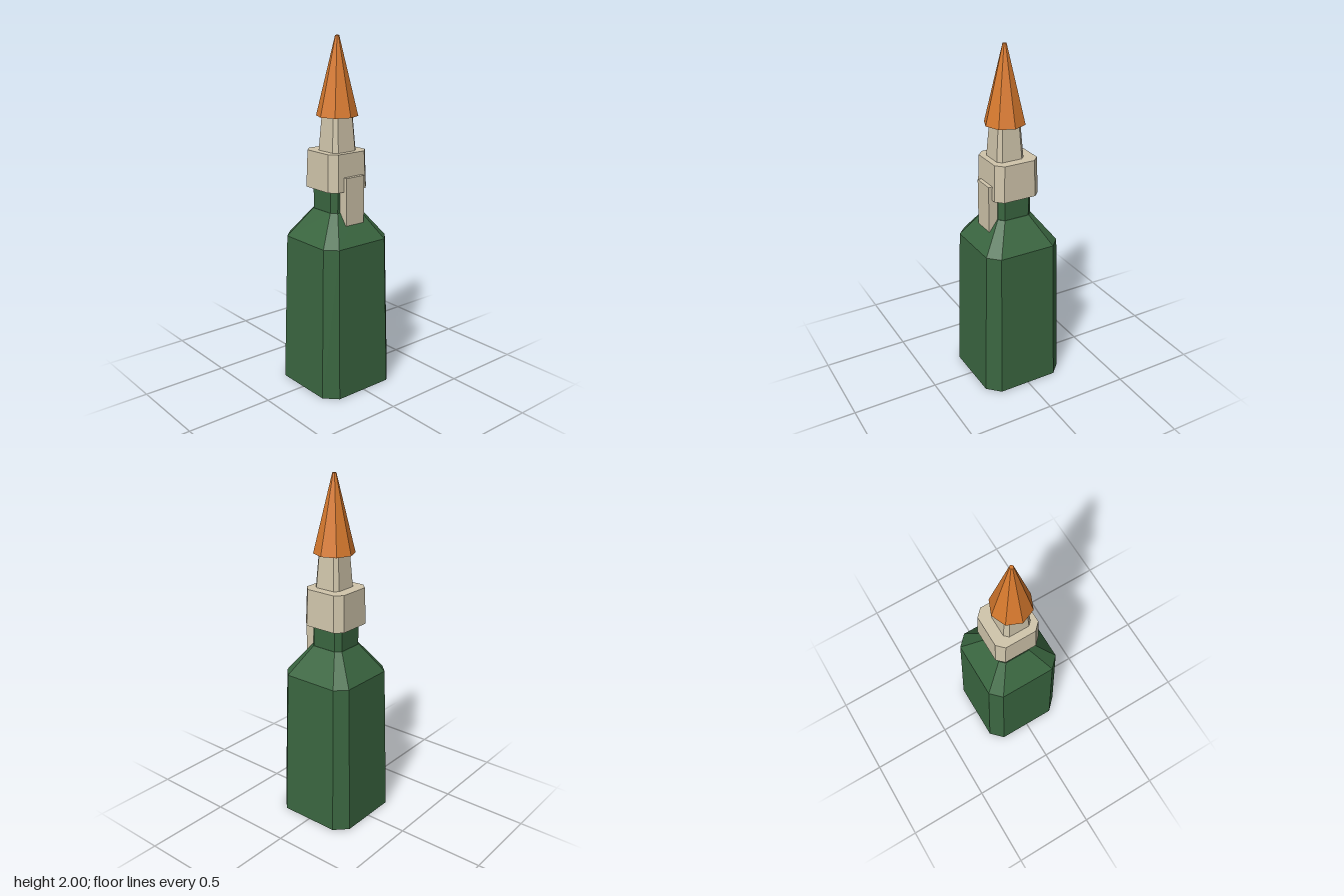
import * as THREE from 'three';

// Corners of a square with cut corners; h = half width, c = half length of the straight side
function ring([y, h, c]) {
  return [[c, h], [h, c], [h, -c], [c, -h], [-c, -h], [-h, -c], [-h, c], [-c, h]]
    .map(([x, z]) => [x, y, z]);
}

// Solid faceted loft through cut-corner squares, bottom to top, closed at both ends
function loft(sections) {
  const rings = sections.map(ring);
  const pos = [];
  const tri = (a, b, c) => pos.push(...a, ...b, ...c);
  for (let s = 0; s < rings.length - 1; s++) {
    for (let i = 0; i < 8; i++) {
      const j = (i + 1) % 8;
      const lo = rings[s], hi = rings[s + 1];
      tri(lo[i], lo[j], hi[j]);
      tri(lo[i], hi[j], hi[i]);
    }
  }
  const bottom = rings[0], top = rings[rings.length - 1];
  for (let i = 1; i < 7; i++) {
    tri(bottom[0], bottom[i + 1], bottom[i]);
    tri(top[0], top[i], top[i + 1]);
  }
  const geo = new THREE.BufferGeometry();
  geo.setAttribute('position', new THREE.Float32BufferAttribute(pos, 3));
  geo.computeVertexNormals();
  return geo;
}

export function createModel() {
  const material = (name, color) => {
    const m = new THREE.MeshStandardMaterial({ color, flatShading: true });
    m.name = name;
    return m;
  };
  const green = material('bottle green', 0x3a6640);
  const cream = material('cream', 0xd0c5ab);
  const orange = material('orange', 0xd87a2e);

  const model = new THREE.Group();
  model.name = 'bottle';
  const add = (name, geo, mat, x = 0, y = 0, z = 0) => {
    const mesh = new THREE.Mesh(geo, mat);
    mesh.name = name;
    mesh.position.set(x, y, z);
    model.add(mesh);
  };

  // Tapered body, sloping shoulder and straight neck
  add('body', loft([[0, 0.25, 0.18], [0.88, 0.226, 0.165], [1.045, 0.105, 0.076]]), green);
  add('neck', loft([[1.04, 0.103, 0.074], [1.18, 0.103, 0.074]]), green);

  // Cap collar and the narrower nozzle base, set slightly off centre
  add('collar', loft([[1.17, 0.137, 0.097], [1.38, 0.131, 0.091]]), cream);
  add('nozzleBase', loft([[1.375, 0.083, 0.06], [1.575, 0.068, 0.05]]), cream, 0.015, 0, 0.006);

  // Eight-sided tip with a tiny flat end
  add('nozzleTip', new THREE.CylinderGeometry(0.011, 0.116, 0.43, 8), orange, 0.015, 1.785, 0.006);

  // Flat tab on the side
  add('sideTab', new THREE.BoxGeometry(0.053, 0.27, 0.127), cream, 0.131, 1.115, -0.006);

  return model;
}
